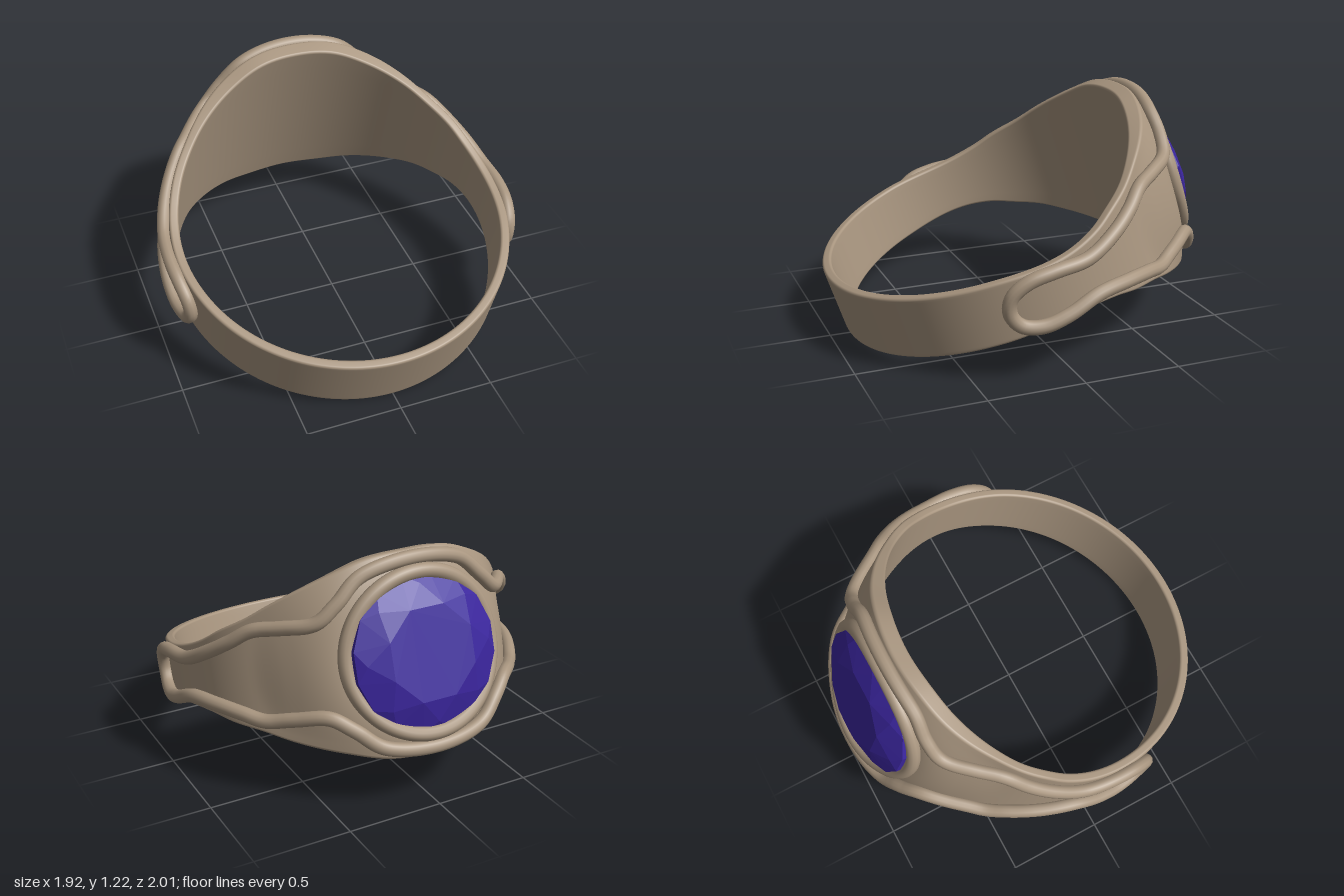
import * as THREE from 'three';
import { ConvexGeometry } from 'three/addons/geometries/ConvexGeometry.js';

const CENTRE = 0.1;   // ring centre along the local z axis
const RAD = Math.PI / 180;

// Half width of the band against the angle (degrees) from the back
const widthAt = new THREE.CubicInterpolant(
  [-14, 0, 14, 27, 43, 53, 64, 72, 84, 110, 180, 250],
  [0.485, 0.497, 0.485, 0.425, 0.34, 0.28, 0.23, 0.188, 0.156, 0.162, 0.174, 0.162], 1, [0]);
const halfWidth = (a) => widthAt.evaluate(Math.min(180, Math.abs(a)))[0];

// Height of the gently curved seat under the stone
const seatZ = (x) => -0.868 + 0.4 * x * x;

// Point on the outer surface, lifted by off; the back swells to meet the seat
function outer(a, v, off = 0) {
  const c = Math.cos(a * RAD);
  const r = 0.9 + 0.03 * THREE.MathUtils.smoothstep(c, 0.6, 1) + off;
  const x = r * Math.sin(a * RAD);
  let z = CENTRE - r * c;
  if (c > 0) {
    const k = 1 - THREE.MathUtils.smoothstep(Math.hypot(x, v), 0.4, 0.72);
    const edge = 1 - 0.8 * Math.pow(Math.min(1, Math.abs(v) / halfWidth(a)), 6);
    z = THREE.MathUtils.lerp(z, Math.min(z, seatZ(Math.min(0.6, Math.abs(x))) - off), k * edge);
  }
  return new THREE.Vector3(x, v, z);
}

function inner(a, v) {
  return new THREE.Vector3(0.85 * Math.sin(a * RAD), v, CENTRE - 0.85 * Math.cos(a * RAD));
}

// Band: closed cross-sections with softened edges, joined around the ring
function bandGeometry() {
  const N = 192, rows = 28, b = 0.014;
  const pos = [], idx = [];
  let M = 0;
  for (let i = 0; i < N; i++) {
    const a = (i / N) * 360 - 180, h = halfWidth(a), ring = [];
    // corner arc between a wall and the rim, t from 0 (wall) to 1 (rim)
    const corner = (t, s, isOuter) => {
      const v = s * (h - b + b * Math.sin(t * Math.PI / 2));
      const wall = isOuter ? outer(a, v) : inner(a, v);
      const other = isOuter ? inner(a, v) : outer(a, v);
      const inset = b * (1 - Math.cos(t * Math.PI / 2));
      return wall.add(other.sub(wall).setLength(inset + 1e-6));
    };
    const arc = [0, 0.25, 0.5, 0.75, 1];
    for (const t of [...arc].reverse()) ring.push(corner(t, -1, true));
    for (let j = 1; j < rows; j++) ring.push(outer(a, (h - b) * (2 * j / rows - 1)));
    for (const t of arc) ring.push(corner(t, 1, true));
    for (const t of [...arc].reverse()) ring.push(corner(t, 1, false));
    for (let j = 1; j < 8; j++) ring.push(inner(a, (h - b) * (1 - j / 4)));
    for (const t of arc) ring.push(corner(t, -1, false));
    M = ring.length;
    for (const p of ring) pos.push(p.x, p.y, p.z);
  }
  for (let i = 0; i < N; i++) {
    for (let j = 0; j < M; j++) {
      const i2 = (i + 1) % N, j2 = (j + 1) % M;
      const p = i * M + j, q = i2 * M + j, r = i2 * M + j2, s = i * M + j2;
      idx.push(p, s, q, q, s, r);
    }
  }
  const g = new THREE.BufferGeometry();
  g.setAttribute('position', new THREE.Float32BufferAttribute(pos, 3));
  g.setIndex(idx);
  g.computeVertexNormals();
  return g;
}

// Wire: one closed loop over the back and both shoulders
function wireGeometry() {
  const half = [[0, 0.457], [16, 0.415], [25, 0.3], [32, 0.225], [41, 0.222], [50, 0.222], [58, 0.178],
    [67, 0.135], [79, 0.098], [90, 0.12], [98, 0.123], [104, 0.085]];
  const quarter = (sx, sv) => half.map(([a, v]) => new THREE.Vector3(sx * a / 100, sv * v, 0));
  const tip = (s) => new THREE.Vector3(s * 1.065, 0, 0);
  const path = [
    ...quarter(1, 1), tip(1), ...quarter(1, -1).reverse(),
    ...quarter(-1, -1).slice(1), tip(-1), ...quarter(-1, 1).slice(1).reverse(),
  ];
  const flat = new THREE.CatmullRomCurve3(path, true);
  const pts = flat.getPoints(240).slice(0, -1).map((p) => outer(p.x * 100, p.y, 0.025));
  return new THREE.TubeGeometry(new THREE.CatmullRomCurve3(pts, true), 480, 0.036, 12, true);
}

// Bezel: round rim that follows the curved seat
function bezelGeometry() {
  const pts = [];
  for (let i = 0; i < 32; i++) {
    const t = (i / 32) * Math.PI * 2, x = 0.4 * Math.cos(t);
    pts.push(new THREE.Vector3(x, 0.39 * Math.sin(t), seatZ(x) - 0.014));
  }
  return new THREE.TubeGeometry(new THREE.CatmullRomCurve3(pts, true), 128, 0.038, 12, true);
}

// Stone: faceted crown with an eight-sided table
function stoneGeometry() {
  const pts = [];
  const loop = (n, r, z, turn) => {
    for (let i = 0; i < n; i++) {
      const t = ((i + turn) / n) * Math.PI * 2;
      pts.push(new THREE.Vector3(r * Math.cos(t), r * Math.sin(t), z));
    }
  };
  loop(16, 0.39, -0.78, 0.5);
  loop(16, 0.388, -0.878, 0.5);
  loop(8, 0.335, -0.911, 0);
  loop(8, 0.24, -0.948, 0.5);
  return new ConvexGeometry(pts);
}

export function createModel() {
  const metal = new THREE.MeshStandardMaterial({ color: 0xa8957f });
  const blue = new THREE.MeshStandardMaterial({ color: 0x3a259c, flatShading: true });
  const model = new THREE.Group();
  model.name = 'ring';
  const tilted = new THREE.Group();
  tilted.name = 'tiltedRing';
  const add = (name, geometry, material) => {
    const mesh = new THREE.Mesh(geometry, material);
    mesh.name = name;
    tilted.add(mesh);
  };
  add('band', bandGeometry(), metal);
  add('wire', wireGeometry(), metal);
  add('bezel', bezelGeometry(), metal);
  add('stone', stoneGeometry(), blue);
  // The ring leans so that its front rests on the ground
  tilted.rotation.x = 18.4 * RAD;
  tilted.position.y = 0.48;
  model.add(tilted);
  return model;
}
